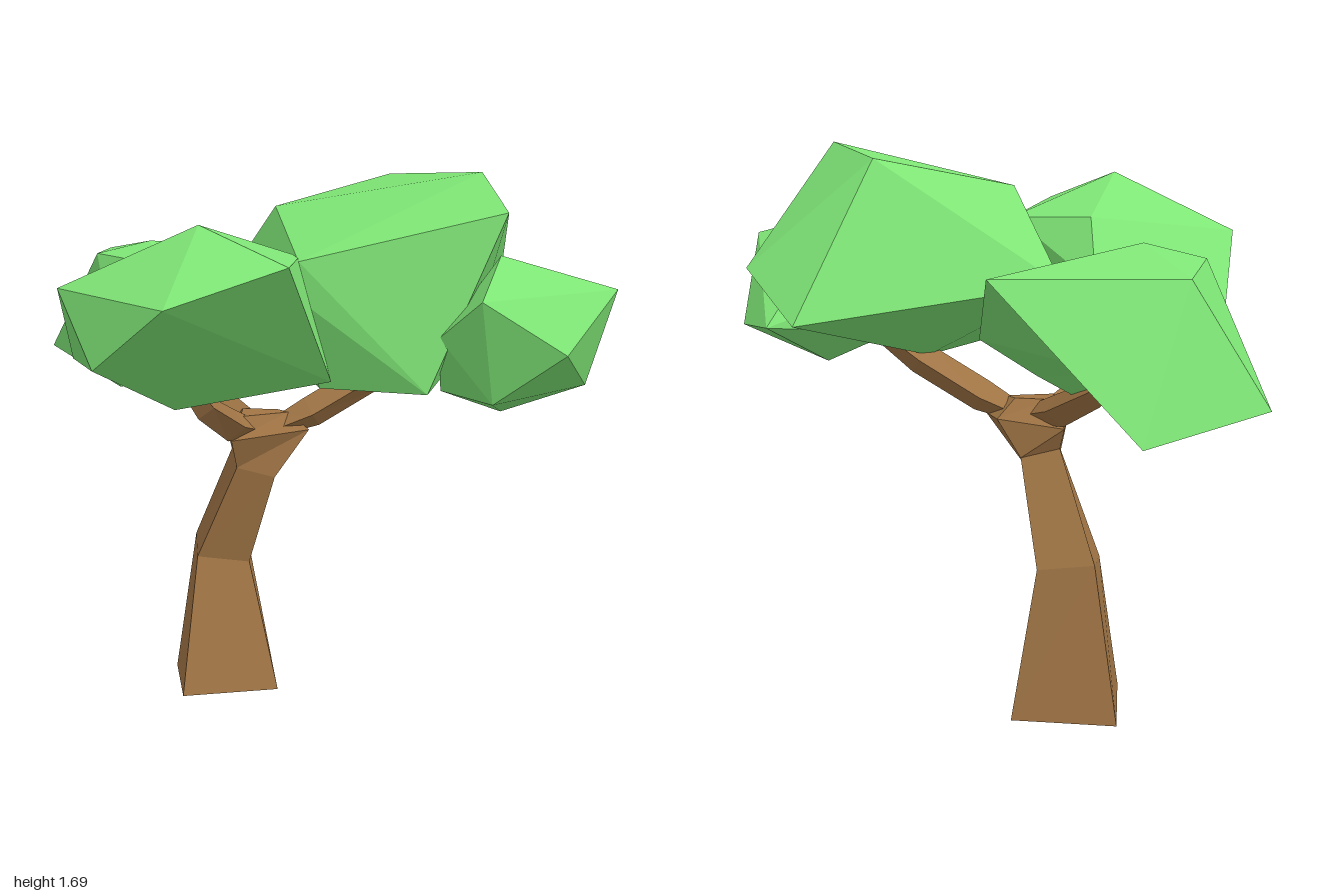
import * as THREE from 'three';
import { ConvexGeometry } from 'three/addons/geometries/ConvexGeometry.js';

const bark = new THREE.MeshStandardMaterial({ color: 0xa27646, flatShading: true });
const leaf = new THREE.MeshStandardMaterial({ color: 0x7fe676, flatShading: true });
const V = (p) => new THREE.Vector3(...p);

// Skin a stack of equal-sided rings (counter-clockwise round the path) and cap both ends
function loft(rings) {
  const n = rings[0].length;
  const index = [];
  for (let r = 0; r < rings.length - 1; r++) {
    for (let i = 0; i < n; i++) {
      const a = r * n + i, b = r * n + ((i + 1) % n);
      index.push(a, b, b + n, a, b + n, a + n);
    }
  }
  const top = (rings.length - 1) * n;
  for (let i = 1; i < n - 1; i++) {
    index.push(0, i + 1, i, top, top + i, top + i + 1);
  }
  const geo = new THREE.BufferGeometry().setFromPoints(rings.flat());
  geo.setIndex(index);
  const flat = geo.toNonIndexed();
  flat.computeVertexNormals();
  return flat;
}

// Four-sided tapering limb along a path of [x, y, z, radius]
function limb(path) {
  const pts = path.map(([x, y, z]) => V([x, y, z]));
  const rings = pts.map((p, i) => {
    const t = pts[Math.min(i + 1, pts.length - 1)].clone().sub(pts[Math.max(i - 1, 0)]).normalize();
    const u = V([0, 1, 0]).cross(t).normalize();
    const v = t.clone().cross(u);
    return [0, 1, 2, 3].map((k) => {
      const a = (k * Math.PI) / 2, r = path[i][3];
      return p.clone().addScaledVector(u, Math.cos(a) * r).addScaledVector(v, Math.sin(a) * r);
    });
  });
  return loft(rings);
}

// Faceted clump round its corner points; a dent pushes one corner inwards
function clump({ corners, dent }) {
  const geo = new ConvexGeometry(corners.map(V));
  if (dent) {
    const from = V(dent.from), p = new THREE.Vector3(), pos = geo.attributes.position;
    for (let i = 0; i < pos.count; i++) {
      if (p.fromBufferAttribute(pos, i).distanceTo(from) < 1e-4) pos.setXYZ(i, ...dent.to);
    }
    geo.computeVertexNormals();
  }
  return geo;
}

// Trunk rings from root to fork: front, right, back and left corners
const trunkRings = [
  [[-0.27, 0.02, 0.12], [-0.01, 0.03, -0.04], [-0.17, 0.01, -0.305], [-0.435, 0, -0.14]],
  [[-0.27, 0.46, 0.01], [-0.13, 0.435, -0.08], [-0.21, 0.46, -0.23], [-0.36, 0.48, -0.15]],
  [[-0.13, 0.77, 0.005], [-0.03, 0.735, -0.06], [-0.1, 0.77, -0.16], [-0.2, 0.8, -0.1]],
  [[-0.12, 0.87, 0.06], [0.06, 0.885, -0.12], [-0.02, 0.88, -0.17], [-0.23, 0.865, -0.12]],
  [[-0.11, 0.94, 0.02], [0, 0.94, -0.1], [-0.05, 0.94, -0.12], [-0.15, 0.94, -0.08]],
];

const branches = {
  rightBranch: [[-0.09, 0.89, -0.08, 0.03], [-0.23, 0.925, -0.14, 0.05], [-0.43, 1.01, -0.25, 0.04], [-0.64, 1.11, -0.38, 0.015]],
  leftBranch: [[-0.04, 0.89, -0.09, 0.03], [0.06, 0.94, -0.14, 0.05], [0.22, 1.05, -0.23, 0.05], [0.36, 1.17, -0.32, 0.03]],
  frontBranch: [[-0.1, 0.89, -0.04, 0.03], [-0.12, 0.92, 0.06, 0.05], [-0.12, 1.02, 0.25, 0.04], [-0.12, 1.12, 0.36, 0.03]],
};

// Leaf clumps by their corner points
const clumps = {
  frontFoliage: {
    corners: [
      [0.05, 1.4, 0.775], [0.02, 1.59, 0.52], [0.31, 1.5, 0.57], [-0.36, 1.41, 0.63],
      [-0.2, 1.21, 0.72], [-0.47, 1.16, 0.39], [-0.11, 1.05, 0.43], [0.25, 1.11, 0.15],
      [-0.27, 1.28, -0.02], [-0.17, 1.47, 0.1], [0.13, 1.46, 0.11], [-0.2, 1.12, 0.12],
    ],
  },
  topFoliage: {
    corners: [
      [0.56, 1.69, -0.23], [0.17, 1.65, -0.49], [0.71, 1.6, -0.02], [-0.07, 1.57, -0.15],
      [0.17, 1.46, 0.205], [0.17, 1.35, 0.2], [0.49, 1.34, -0.68], [0.22, 1.2, -0.775],
      [-0.29, 1.3, -0.22], [0.53, 1.09, 0.11], [0.2, 1.08, 0.12], [0.2, 1.06, -0.22],
      [0.48, 1.15, -0.42],
    ],
  },
  rightFoliage: {
    corners: [
      [-1, 1.03, -0.31], [-0.83, 1.365, -0.43], [-0.7, 1.39, -0.13], [-0.55, 1.43, -0.21],
      [-0.42, 1.365, -0.74], [-0.83, 0.965, -0.65], [-0.5, 1.01, 0.08], [-0.4, 1.385, -0.02],
      [-0.25, 1.18, -0.55], [-0.2, 1.18, -0.33], [-0.33, 0.98, -0.2], [-0.26, 1.05, -0.3],
      [-0.5, 0.93, -0.5],
    ],
    dent: { from: [-0.5, 0.93, -0.5], to: [-0.58, 1.09, -0.38] },
  },
  leftFoliage: {
    corners: [
      [1, 1.39, -0.13], [0.92, 1.23, 0.075], [0.69, 1.37, 0.13], [0.67, 1.47, -0.09],
      [0.91, 1.1, -0.17], [0.66, 0.995, -0.17], [0.78, 1.13, -0.42], [0.54, 1.15, -0.56],
      [0.55, 1.25, 0.08], [0.71, 1.07, 0.07], [0.53, 1.08, 0],
    ],
  },
};

export function createModel() {
  const tree = new THREE.Group();
  tree.name = 'tree';
  const add = (name, geometry, material) => {
    const mesh = new THREE.Mesh(geometry, material);
    mesh.name = name;
    tree.add(mesh);
  };
  add('trunk', loft(trunkRings.map((ring) => ring.map(V))), bark);
  for (const [name, path] of Object.entries(branches)) add(name, limb(path), bark);
  for (const [name, spec] of Object.entries(clumps)) add(name, clump(spec), leaf);
  return tree;
}
